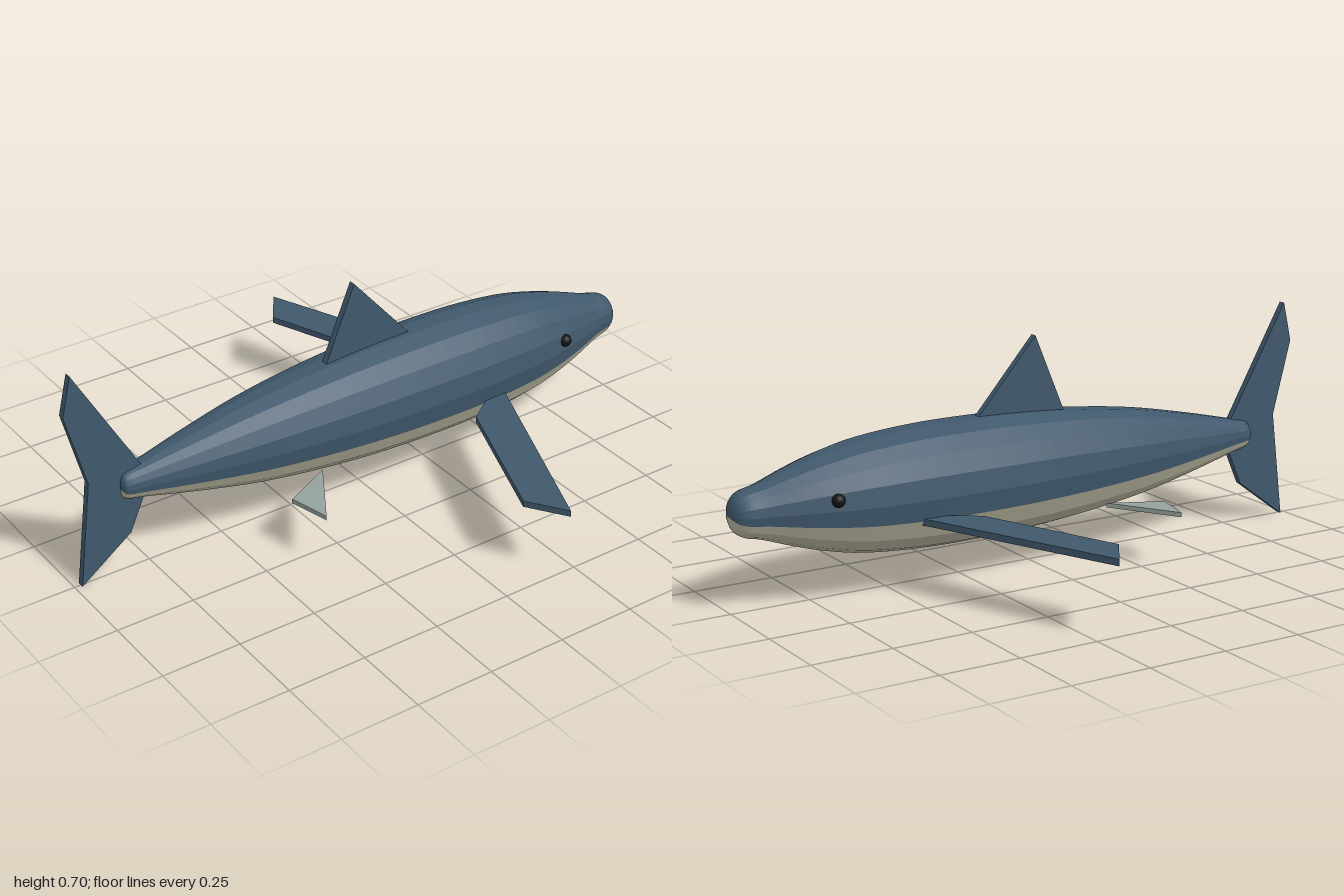
import * as THREE from 'three';

const DEG = Math.PI / 180;
const SIDES = 18;
const CENTER_Y = 0.29;
const WIDTH = 0.9; // body is slightly narrower than tall

const material = (color, extra = {}) => new THREE.MeshStandardMaterial({ color, ...extra });

// Body radius along x, tail to nose
const PROFILE = [
  [-0.838, 0], [-0.832, 0.033], [-0.815, 0.046], [-0.76, 0.058], [-0.6, 0.096],
  [-0.4, 0.137], [-0.2, 0.164], [0, 0.181], [0.2, 0.188], [0.4, 0.186],
  [0.58, 0.171], [0.7, 0.147], [0.8, 0.118], [0.9, 0.083], [0.955, 0.069],
  [0.985, 0.046], [1, 0],
].map(([x, r]) => new THREE.Vector2(x, r));

// Part of the body skin, from a start angle (0 = +z, 90 = up) over a number of facets
function bodyShell(name, startAngle, facets, mat) {
  const rings = new THREE.SplineCurve(PROFILE).getPoints(64);
  const positions = [];
  const indices = [];
  const row = facets + 1;
  rings.forEach(({ x, y }, i) => {
    const r = Math.max(y, 0);
    for (let j = 0; j <= facets; j++) {
      const a = (startAngle + (j * 360) / SIDES) * DEG;
      positions.push(x, CENTER_Y + r * Math.sin(a), r * WIDTH * Math.cos(a));
      if (i < rings.length - 1 && j < facets) {
        const p = i * row + j;
        indices.push(p, p + row, p + row + 1, p, p + row + 1, p + 1);
      }
    }
  });
  const geometry = new THREE.BufferGeometry();
  geometry.setAttribute('position', new THREE.Float32BufferAttribute(positions, 3));
  geometry.setIndex(indices);
  geometry.computeVertexNormals();
  const mesh = new THREE.Mesh(geometry, mat);
  mesh.name = name;
  return mesh;
}

// Flat fin cut from an outline and centred on its own plane
function fin(name, outline, thickness, mat) {
  const shape = new THREE.Shape(outline.map(([x, y]) => new THREE.Vector2(x, y)));
  const geometry = new THREE.ExtrudeGeometry(shape, { depth: thickness, bevelEnabled: false });
  geometry.translate(0, 0, -thickness / 2);
  const mesh = new THREE.Mesh(geometry, mat);
  mesh.name = name;
  return mesh;
}

export function createModel() {
  const model = new THREE.Group();
  model.name = 'shark';
  const blue = material(0x40586c, { flatShading: true });
  const cream = material(0xb8b6a0, { flatShading: true });
  const paleGrey = material(0x93a19d);
  const black = material(0x141414);

  // Body
  model.add(bodyShell('back', -20, 11, blue), bodyShell('belly', 200, 7, cream));

  // Upright fins
  model.add(
    fin('dorsalFin', [[-0.13, 0.44], [0.21, 0.44], [-0.02, 0.7]], 0.022, blue),
    fin('tailFin', [
      [-0.765, 0.345], [-0.97, 0.705], [-1, 0.58], [-0.937, 0.34],
      [-0.98, 0], [-0.81, 0.125], [-0.757, 0.245],
    ], 0.022, blue),
  );

  // Paired fins and eyes; outlines are in x and z
  for (const side of [1, -1]) {
    const label = side > 0 ? 'Front' : 'Back';
    const mirror = (points) => points.map(([x, z]) => [x, z * side]);

    const pectoral = fin('pectoralFin' + label, mirror([
      [0.458, 0.14], [0.2, 0.78], [0.12, 0.662], [0.29, 0.217], [0.4, 0.14],
    ]), 0.02, blue);
    pectoral.rotation.x = Math.PI / 2;
    pectoral.position.y = 0.225;

    const pelvic = fin('pelvicFin' + label, mirror([
      [-0.21, 0.118], [-0.34, 0.33], [-0.372, 0.197],
    ]), 0.014, paleGrey);
    pelvic.rotation.x = Math.PI / 2;
    pelvic.position.y = 0.168;

    const eye = new THREE.Mesh(new THREE.SphereGeometry(0.02, 16, 12), black);
    eye.name = 'eye' + label;
    eye.position.set(0.713, 0.322, 0.125 * side);

    model.add(pectoral, pelvic, eye);
  }
  return model;
}
